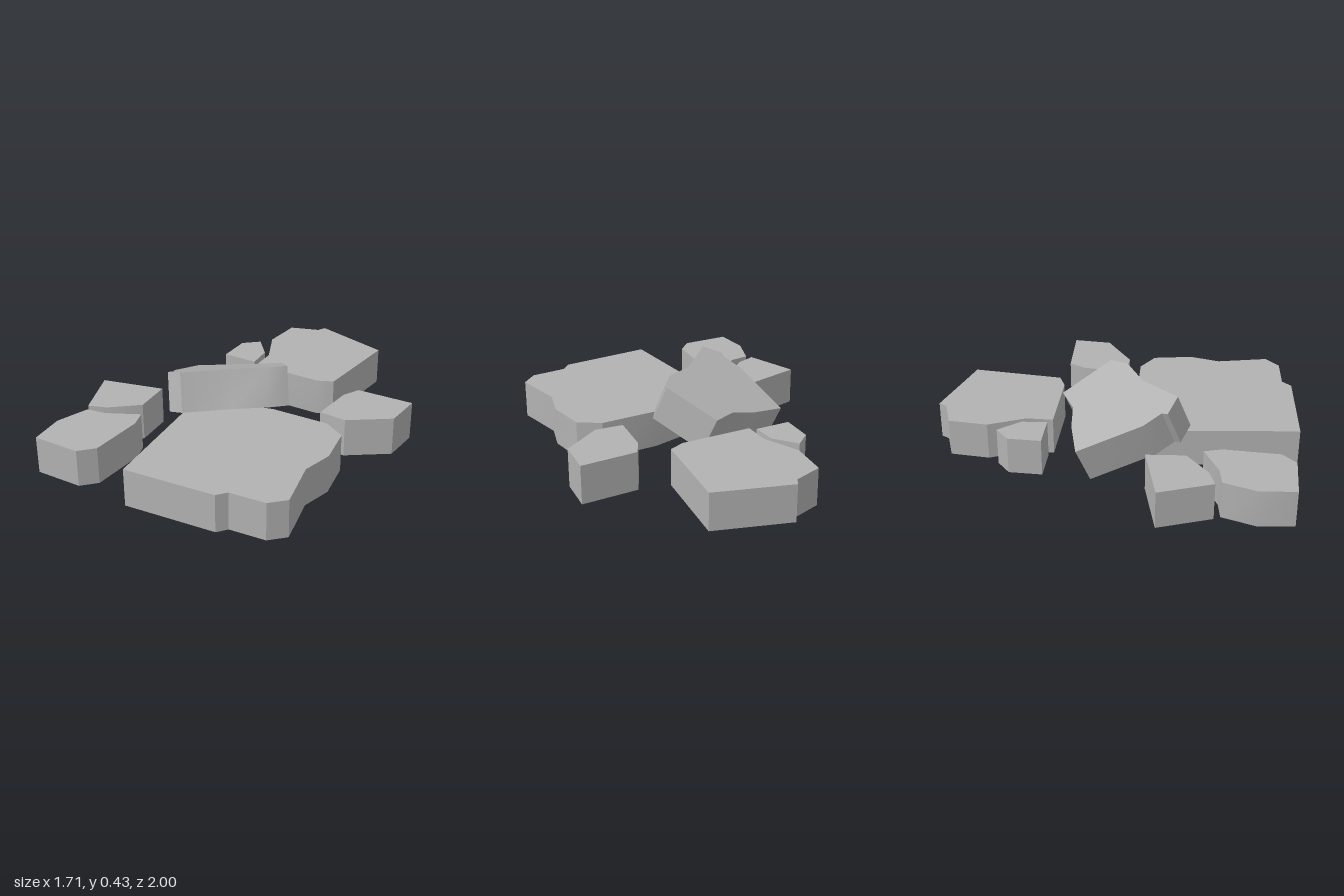
import * as THREE from 'three';
import { toCreasedNormals } from 'three/addons/utils/BufferGeometryUtils.js';

const stone = new THREE.MeshStandardMaterial({ color: 0xb2b2b2, side: THREE.DoubleSide });
stone.name = 'grey stone';

// Open-bottomed slab: outline of [x, z] corners, clockwise seen from above.
// top(x, z) gives the height of the upper face, drop is the offset to the lower rim.
function slab(name, outline, top, drop) {
  const pts = outline.slice().reverse();
  const upper = pts.map(([x, z]) => new THREE.Vector3(x, top(x, z), z));
  const lower = upper.map((p) => p.clone().add(drop));
  const tris = [];

  // Upper face
  const contour = pts.map(([x, z]) => new THREE.Vector2(x, -z));
  for (const f of THREE.ShapeUtils.triangulateShape(contour, [])) {
    tris.push(...f.map((i) => upper[i]));
  }
  // Side walls
  upper.forEach((a, i) => {
    const j = (i + 1) % upper.length;
    tris.push(lower[i], lower[j], upper[j], lower[i], upper[j], a);
  });

  const geo = toCreasedNormals(new THREE.BufferGeometry().setFromPoints(tris), 0.5);
  const mesh = new THREE.Mesh(geo, stone);
  mesh.name = name;
  return mesh;
}

// Slabs lying flat on the ground
const flatSlabs = [
  ['frontSlab', 0.217, [
    [-0.255, 0.15], [0.17, 0.105], [0.49, 0.145], [0.6, 0.235], [0.605, 0.455], [0.54, 0.615],
    [0.56, 0.9], [0.47, 0.965], [0.27, 0.95], [0.22, 0.995], [-0.29, 0.955]]],
  ['backSlab', 0.215, [
    [-0.105, -0.93], [0.06, -0.96], [0.09, -1], [0.49, -0.82], [0.37, -0.33], [0.28, -0.305],
    [-0.115, -0.365], [-0.095, -0.51], [-0.155, -0.72]]],
  ['smallBackSlab', 0.215, [
    [-0.21, -0.665], [-0.13, -0.535], [-0.14, -0.395], [-0.335, -0.425], [-0.305, -0.605]]],
  ['leftSlab', 0.222, [
    [0.535, -0.27], [0.85, -0.235], [0.805, -0.03], [0.57, 0.085], [0.42, 0.05], [0.475, -0.185]]],
  ['rightInnerSlab', 0.215, [
    [-0.84, 0.145], [-0.49, 0.115], [-0.505, 0.325], [-0.67, 0.425], [-0.775, 0.445]]],
  ['rightFrontSlab', 0.213, [
    [-0.76, 0.48], [-0.65, 0.48], [-0.465, 0.42], [-0.45, 0.52], [-0.51, 0.82], [-0.595, 0.885],
    [-0.855, 0.845], [-0.845, 0.65]]],
];

// Slab tipped up onto the front one
const tiltedOutline = [
  [-0.435, -0.245], [-0.235, -0.265], [-0.09, -0.255], [0.06, -0.31], [0.195, -0.04],
  [0.115, 0.05], [-0.07, 0.125], [-0.287, 0.295], [-0.39, 0.235], [-0.37, 0.205], [-0.415, 0.105]];

export function createModel() {
  const group = new THREE.Group();
  group.name = 'brokenPaving';
  const base = 0.005;
  for (const [name, height, outline] of flatSlabs) {
    group.add(slab(name, outline, () => height, new THREE.Vector3(0, base - height, 0)));
  }
  group.add(slab('tiltedSlab', tiltedOutline,
    (x, z) => 0.389 + 0.21 * x + 0.376 * z, new THREE.Vector3(0.041, -0.197, 0.076)));
  return group;
}
